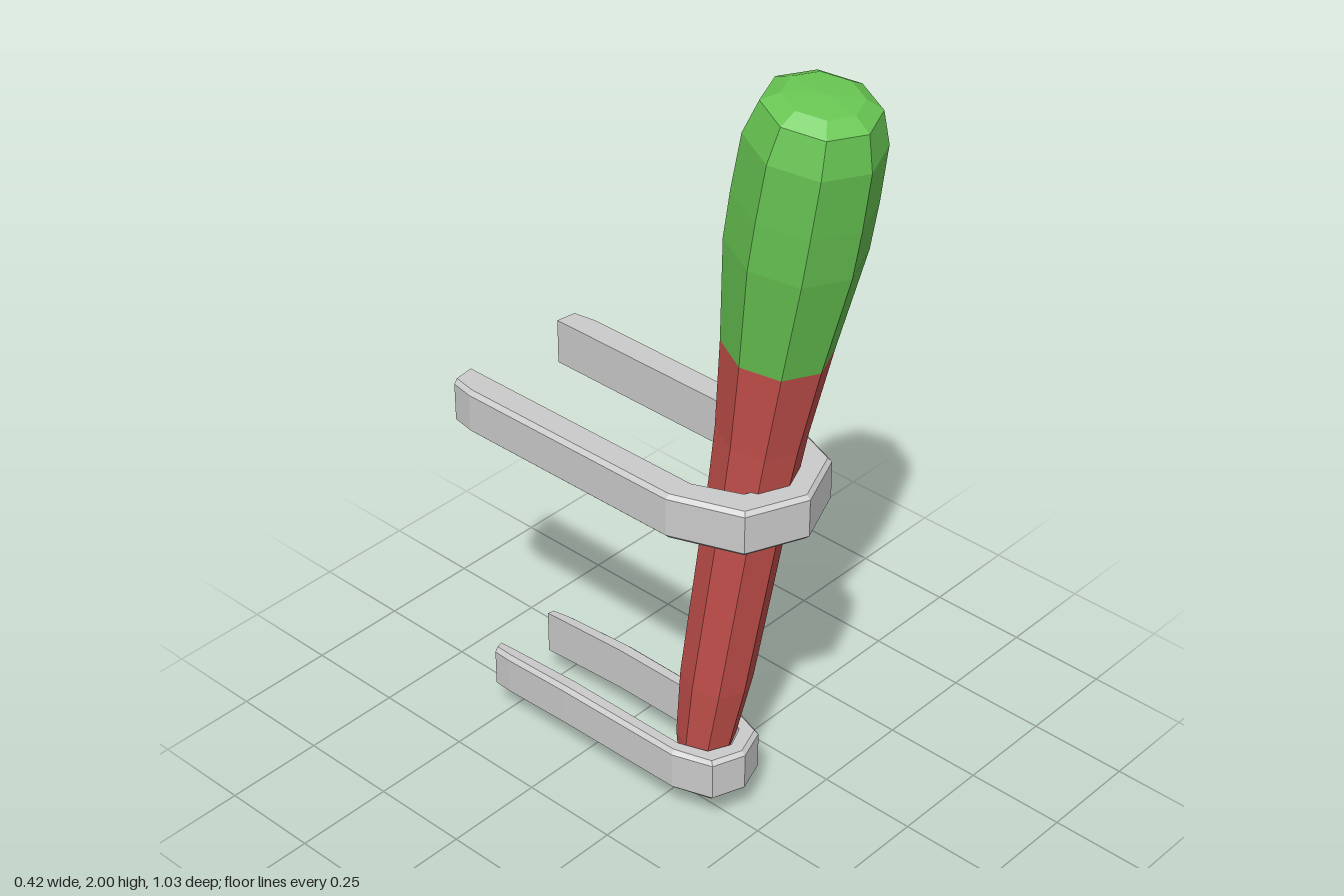
import * as THREE from 'three';

const grey = new THREE.MeshStandardMaterial({ color: 0xcccccc, flatShading: true });
const red = new THREE.MeshStandardMaterial({ color: 0xc9524d, flatShading: true });
const green = new THREE.MeshStandardMaterial({ color: 0x68c653, flatShading: true });

// Eight-sided turned part from [radius, height] pairs
function turned(name, profile, material) {
  const points = profile.map(([r, h]) => new THREE.Vector2(r, h));
  const mesh = new THREE.Mesh(new THREE.LatheGeometry(points, 8), material);
  mesh.name = name;
  return mesh;
}

// U-shaped clip: half a path of [outerX, outerZ, innerX, innerZ, drop], from the
// back end to the front tip, mirrored across x = 0, with chamfered outer edges
function clip(name, half, y0, y1) {
  const c = 0.01;
  const mirrored = half.slice(0, -1).reverse().map(([ox, oz, ix, iz, d]) => [-ox, oz, -ix, iz, d]);
  const path = [...half, ...mirrored];
  const positions = [];
  for (const [ox, oz, ix, iz, drop] of path) {
    const k = 1 - c / Math.hypot(ox - ix, oz - iz);
    const section = [[0, y0], [k, y0], [1, y0 + c], [1, y1 - c], [k, y1], [0, y1]];
    for (const [u, y] of section) positions.push(ix + (ox - ix) * u, y - drop, iz + (oz - iz) * u);
  }
  const n = 6, index = [], last = (path.length - 1) * n;
  for (let i = 0; i < path.length - 1; i++) {
    for (let j = 0; j < n; j++) {
      const a = i * n + j, b = i * n + (j + 1) % n;
      index.push(a, b, b + n, a, b + n, a + n);
    }
  }
  for (let k = 1; k < n - 1; k++) {
    index.push(0, k + 1, k, last, last + k, last + k + 1);
  }
  const indexed = new THREE.BufferGeometry();
  indexed.setAttribute('position', new THREE.Float32BufferAttribute(positions, 3));
  indexed.setIndex(index);
  const geometry = indexed.toNonIndexed();
  geometry.computeVertexNormals();
  const mesh = new THREE.Mesh(geometry, grey);
  mesh.name = name;
  return mesh;
}

export function createModel() {
  const model = new THREE.Group();
  model.name = 'clippedBaton';

  // Leaning baton: red tapered shaft and green rounded grip
  const baton = new THREE.Group();
  baton.name = 'baton';
  baton.add(turned('shaft', [
    [0, 0], [0.042, 0.06], [0.07, 0.21], [0.085, 0.41], [0.096, 1.0], [0.102, 1.15], [0.122, 1.385],
  ], red));
  baton.add(turned('grip', [
    [0.122, 1.385], [0.151, 1.65], [0.152, 1.77], [0.148, 1.91], [0.124, 1.99], [0.085, 2.012], [0, 2.018],
  ], green));
  baton.rotation.x = 0.166;
  baton.position.z = 0.05;
  model.add(baton);

  // Wide clip at mid height
  model.add(clip('upperClip', [
    [0.2, -0.507, 0.14, -0.515, 0], [0.21, -0.45, 0.14, -0.45, 0], [0.207, 0.15, 0.138, 0.16, 0],
    [0.143, 0.32, 0.09, 0.27, 0], [0, 0.38, 0, 0.31, 0],
  ], 0.91, 1.025));

  // Narrow clip near the tip, its arms dipping toward the back
  model.add(clip('lowerClip', [
    [0.107, -0.51, 0.08, -0.515, 0.015], [0.112, -0.46, 0.08, -0.46, 0.011], [0.116, -0.27, 0.08, -0.27, 0],
    [0.113, 0.08, 0.08, 0.07, 0], [0.08, 0.178, 0.055, 0.14, 0], [0, 0.207, 0, 0.165, 0],
  ], 0.1, 0.215));

  return model;
}
